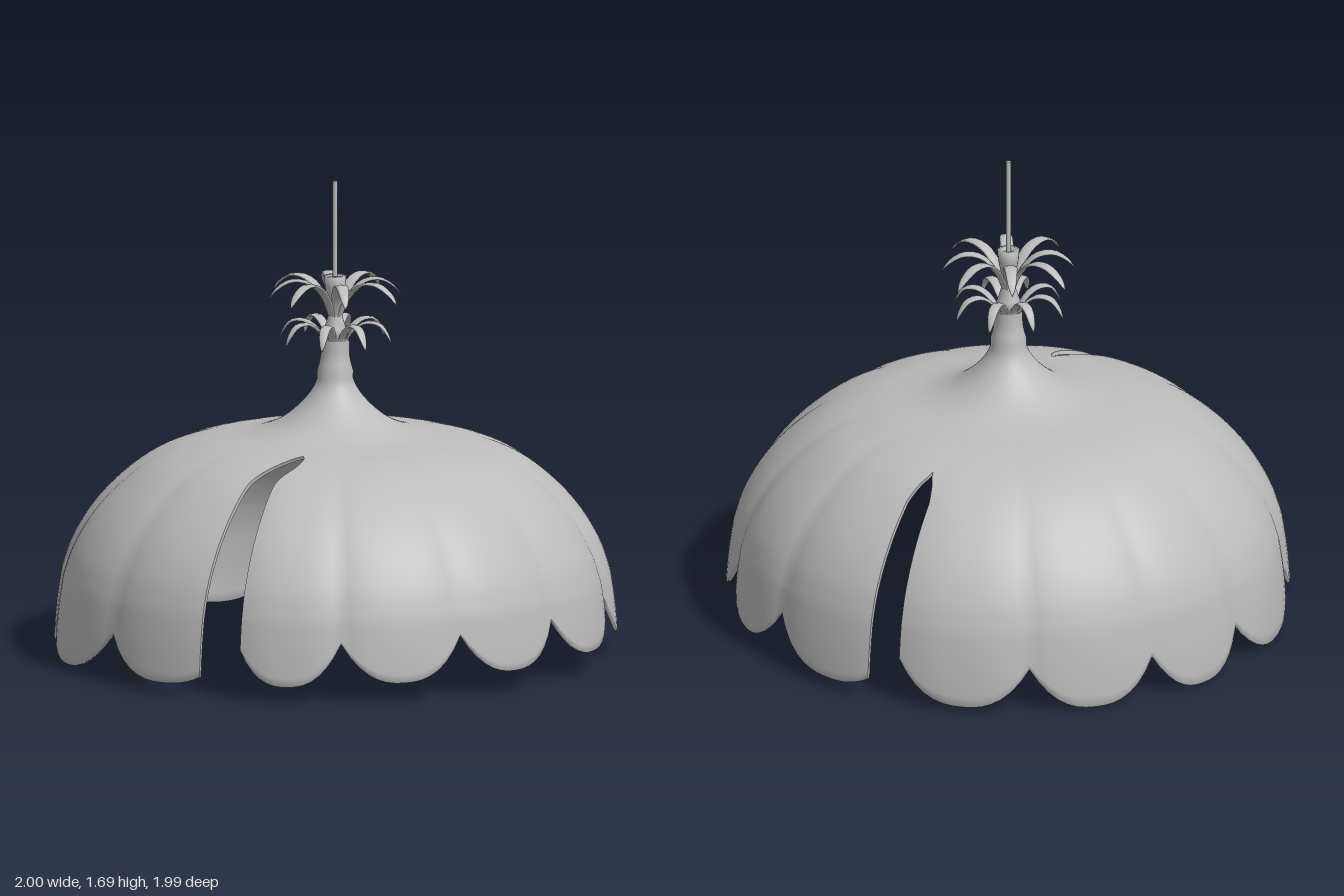
import * as THREE from 'three';
import { mergeGeometries, mergeVertices } from 'three/addons/utils/BufferGeometryUtils.js';

const RAD = Math.PI / 180;
const clamp = THREE.MathUtils.clamp;

// Surface through a grid of points f(i, j); its front is (step in j) x (step in i)
function grid(cols, rows, f) {
  const pos = [], index = [];
  for (let j = 0; j <= rows; j++) for (let i = 0; i <= cols; i++) pos.push(...f(i, j));
  for (let j = 0; j < rows; j++) for (let i = 0; i < cols; i++) {
    const a = j * (cols + 1) + i, c = a + cols + 1;
    index.push(a, c, a + 1, a + 1, c, c + 1);
  }
  const g = new THREE.BufferGeometry();
  g.setAttribute('position', new THREE.Float32BufferAttribute(pos, 3));
  g.setIndex(index);
  return g;
}

function smooth(g) {
  const m = mergeVertices(g, 1e-4);
  m.computeVertexNormals();
  return m;
}

// Shade profile from the neck down to where the scallops begin
const LOW = 0.3, LOW_R = 0.972, THICK = 0.012, UPPER = 48, LOWER = 8, ROWS = UPPER + LOWER;
const profile = new THREE.SplineCurve([
  [0.05, 1.13], [0.052, 1.06], [0.064, 1.03], [0.064, 0.99], [0.09, 0.94], [0.14, 0.885], [0.21, 0.835],
  [0.31, 0.8], [0.47, 0.775], [0.6, 0.735], [0.7, 0.68], [0.8, 0.595], [0.88, 0.5], [0.94, 0.395], [LOW_R, LOW],
].map(p => new THREE.Vector2(...p))).getSpacedPoints(UPPER);

// Angles of the notches between petals, in degrees from the front toward +x
const cusps = [-75, -53, -27, -2, 25, 51, 76, 108, 136, 163, 187, 217, 252, 285];
function petalU(deg) {
  const d = deg < -75 ? deg + 360 : deg > 285 ? deg - 360 : deg;
  let k = 0;
  while (k < cusps.length - 2 && d > cusps[k + 1]) k++;
  return Math.abs((d - cusps[k]) / (cusps[k + 1] - cusps[k]) * 2 - 1);
}

// The two slits: where they end, how wide they are and where they run
const slits = {
  left: { r0: 0.62, half: 3.3, centre: () => 105 },
  right: { r0: 0.41, half: 4.3, centre: r => -78.7 + 8.7 * (1 - THREE.MathUtils.smoothstep(r, 0.38, 0.65)) },
};
const rowR = j => (j <= UPPER ? profile[j].x : LOW_R);
const gap = (s, r) => (r <= s.r0 ? 0 : s.half * Math.min(1, Math.sqrt((r - s.r0) / 0.1)));

function shadePoint(deg, j, inner) {
  const u = petalU(deg), a = deg * RAD;
  let r, y, s = 0;
  if (j <= UPPER) ({ x: r, y } = profile[j]);
  else {
    s = (j - UPPER) / LOWER;
    const bottom = 0.05 + 0.04 * Math.cos(a) + 0.145 * u ** 2.5;
    y = LOW + (bottom - LOW) * s;
    r = LOW_R + (1 - LOW_R) * (1 - (y / LOW) ** 2);
  }
  r *= 1 - 0.018 * u ** 3 * clamp((r - 0.15) / 0.5, 0, 1);
  if (inner) { r -= THICK; y -= THICK * (1 - s); }
  return [Math.sin(a) * r, y, Math.cos(a) * r];
}

// One half of the shade, between two slits
function shadeHalf(start, end, from, to, turnFrom, turnTo) {
  const marks = cusps.filter(c => c >= start && c <= end), cols = [];
  for (let k = 0; k < marks.length - 1; k++)
    for (let n = 0; n < 14; n++) cols.push(marks[k] + (marks[k + 1] - marks[k]) * n / 14);
  cols.push(end);
  const angle = (i, j) => {
    const r = rowR(j), d = cols[i];
    const s0 = from.centre(r) + turnFrom + gap(from, r) - start;
    const s1 = to.centre(r) + turnTo - gap(to, r) - end;
    return d + s0 * Math.max(0, 1 - (d - start) / 20) + s1 * Math.max(0, 1 - (end - d) / 20);
  };
  const last = cols.length - 1;
  const skin = grid(last, ROWS * 2 + 1, (i, j) => {
    const inner = j > ROWS, row = inner ? ROWS * 2 + 1 - j : j;
    return shadePoint(angle(i, row), row, inner);
  });
  // Cut faces along the slits
  const cut = (slit, i, flip) => {
    let top = 0;
    while (gap(slit, rowR(top + 1)) === 0) top++;
    return grid(1, ROWS - top, (k, j) => shadePoint(angle(i, top + j), top + j, (k === 1) !== flip));
  };
  return { skin, cuts: [cut(from, 0, true), cut(to, last, false)] };
}

// Arching leaf along local +x
function leafGeometry(points, width) {
  const curve = new THREE.CatmullRomCurve3(points.map(p => new THREE.Vector3(p[0], p[1], 0)));
  return smooth(grid(8, 14, (i, j) => {
    const t = j / 14, p = curve.getPoint(t), d = curve.getTangent(t);
    const a = i / 8 * Math.PI * 2;
    const body = Math.max(0, Math.sin(Math.PI * (0.12 + 0.88 * t))) ** 0.7;
    const h = 0.006 * body * Math.sin(a);
    return [p.x - d.y * h, p.y + d.x * h, width * body * Math.cos(a)];
  }));
}

export function createModel() {
  const model = new THREE.Group();
  const grey = new THREE.MeshStandardMaterial({ color: 0xbcbcbc });
  grey.name = 'plain grey';
  const add = (name, geometry, parent = model) => {
    const m = new THREE.Mesh(geometry, grey);
    m.name = name;
    parent.add(m);
    return m;
  };

  // Scalloped shade
  const { left, right } = slits;
  const front = shadeHalf(-75, 108, right, left, 0, 0);
  const back = shadeHalf(108, 285, left, right, 0, 360);
  add('shade', smooth(mergeGeometries([front.skin, back.skin])));
  const cuts = mergeGeometries([...front.cuts, ...back.cuts]);
  cuts.computeVertexNormals();
  add('slitEdges', cuts);

  // Core of the crown and hanging rod
  const core = [[0, 1.1], [0.05, 1.13], [0.04, 1.17], [0.024, 1.22], [0.024, 1.26], [0.036, 1.32], [0.04, 1.36], [0.02, 1.36], [0, 1.33]];
  add('crownCore', new THREE.LatheGeometry(core.map(p => new THREE.Vector2(...p)), 16));
  add('rod', new THREE.CylinderGeometry(0.009, 0.009, 0.4, 10)).position.y = 1.5;

  // Two tiers of leaves
  const upper = leafGeometry([[0.015, 1.2], [0.05, 1.28], [0.11, 1.335], [0.18, 1.345], [0.24, 1.315], [0.27, 1.28]], 0.024);
  const lower = leafGeometry([[0.03, 1.11], [0.06, 1.16], [0.11, 1.195], [0.16, 1.19], [0.19, 1.155], [0.205, 1.12]], 0.02);
  const crown = new THREE.Group();
  crown.name = 'crown';
  model.add(crown);
  for (let k = 0; k < 8; k++) {
    const a = add('upperLeaf', upper, crown);
    a.rotation.y = k * Math.PI / 4;
    if (k % 2) a.scale.set(0.88, 1, 1);
    add('lowerLeaf', lower, crown).rotation.y = (k + 0.5) * Math.PI / 4;
  }
  return model;
}
